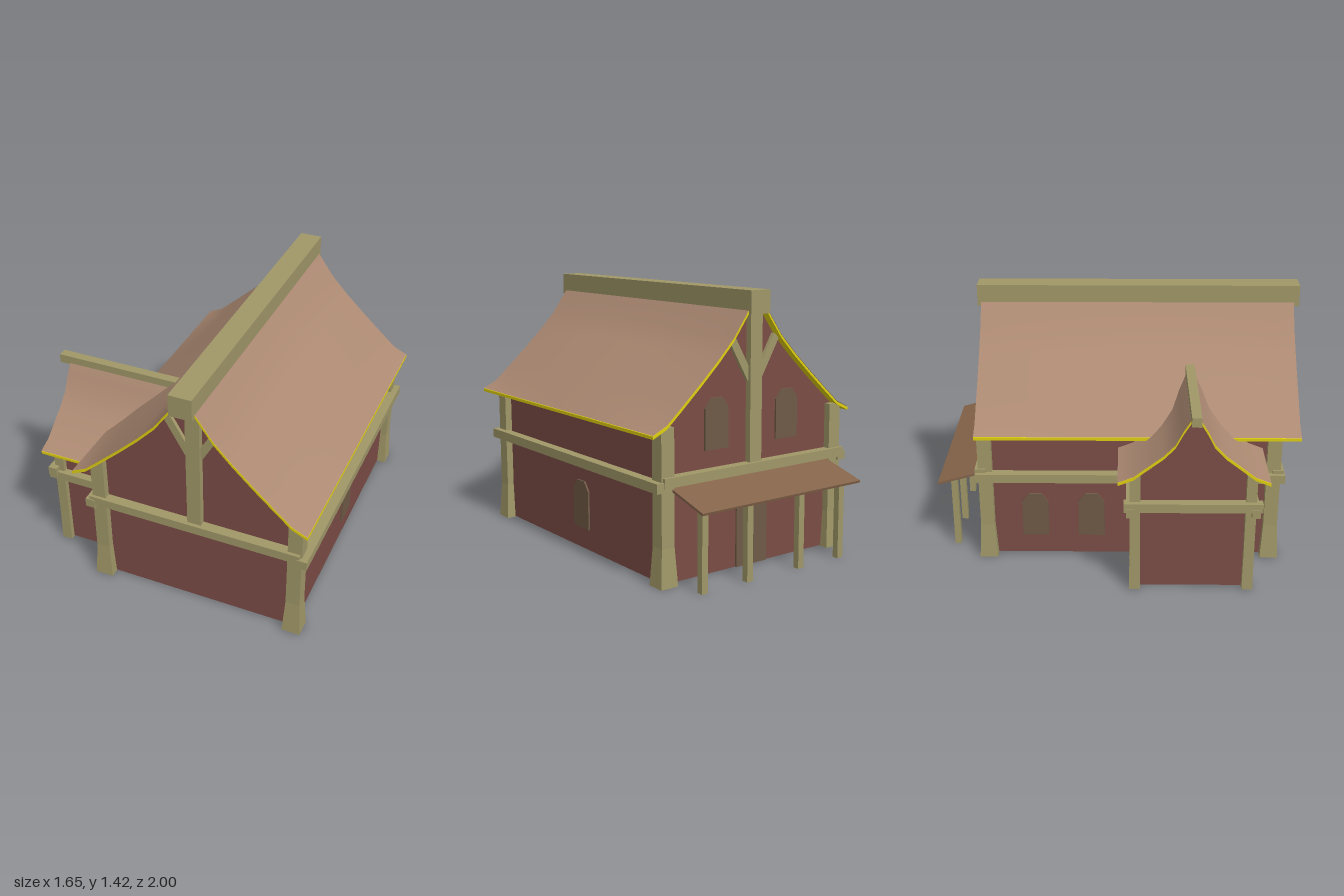
import * as THREE from 'three';

const mat = (color, flat = true) =>
  new THREE.MeshStandardMaterial({ color, flatShading: flat, side: THREE.DoubleSide });
const timber = mat(0xa09768), plaster = mat(0x7b4c45), shingle = mat(0xad8a73, false);
const trim = mat(0xe0d010), glass = mat(0x6f5a46), plank = mat(0x85644a);

function add(parent, name, geo, material, x = 0, y = 0, z = 0) {
  const m = new THREE.Mesh(geo, material);
  m.name = name;
  m.position.set(x, y, z);
  parent.add(m);
  return m;
}

// Box given by its min and max on each axis
function box(parent, name, material, x0, x1, y0, y1, z0, z1) {
  return add(parent, name, new THREE.BoxGeometry(x1 - x0, y1 - y0, z1 - z0), material,
    (x0 + x1) / 2, (y0 + y1) / 2, (z0 + z1) / 2);
}

const shapeOf = (pts) => new THREE.Shape(pts.map(([x, y]) => new THREE.Vector2(x, y)));
const mirrored = (pts) => [...pts.map(([x, y]) => [-x, y]).reverse(), ...pts];

// Height of a half roof profile at distance x from the ridge
function heightAt(profile, x) {
  for (let i = 1; i < profile.length; i++) {
    const [x0, y0] = profile[i - 1], [x1, y1] = profile[i];
    if (x <= x1) return y0 + (y1 - y0) * (x - x0) / (x1 - x0);
  }
  return profile[profile.length - 1][1];
}

// Swept shingle slope: sagging at both ends, filled out towards a straight slope between
function slope(profile, side, z0, z1, bulge) {
  const rows = 16, n = profile.length, pos = [], idx = [];
  const [ax, ay] = profile[1], [bx, by] = profile[n - 1];
  for (let r = 0; r <= rows; r++) {
    const u = r / rows, k = bulge * Math.sin(Math.PI * u);
    profile.forEach(([x, y], i) => {
      const chord = ay + (by - ay) * (x - ax) / (bx - ax);
      const lifted = i > 1 ? y + (chord - y) * k : y;
      pos.push(side * x, lifted + 0.003, z0 + (z1 - z0) * u);
      if (r < rows && i < n - 1) {
        const a = r * n + i, b = a + n;
        if (side > 0) idx.push(a, b, a + 1, b, b + 1, a + 1);
        else idx.push(a, a + 1, b, b, a + 1, b + 1);
      }
    });
  }
  const g = new THREE.BufferGeometry();
  g.setAttribute('position', new THREE.Float32BufferAttribute(pos, 3));
  g.setIndex(idx);
  g.computeVertexNormals();
  return g;
}

// Roof with a coloured underside and shingles on both slopes
function roof(parent, profile, z0, z1, bulge) {
  const top = mirrored(profile);
  const under = top.map(([x, y]) => [x, y - 0.016]).reverse();
  add(parent, 'roofLining', new THREE.ExtrudeGeometry(shapeOf([...top, ...under]),
    { depth: z1 - z0, bevelEnabled: false }), trim, 0, 0, z0);
  for (const s of [-1, 1]) add(parent, 'roofSlope', slope(profile, s, z0, z1, bulge), shingle);
}

// Gable wall filling the roof profile down to the ground
function gable(parent, profile, half, z) {
  const inner = profile.filter(([x]) => x < half).concat([[half, heightAt(profile, half)]]);
  const pts = mirrored(inner.map(([x, y]) => [x, y - 0.012]));
  add(parent, 'gableWall', new THREE.ShapeGeometry(
    shapeOf([[-half, 0.005], ...pts, [half, 0.005]])), plaster, 0, 0, z);
}

function sideWall(parent, x, h, z0, z1) {
  const m = add(parent, 'sideWall', new THREE.PlaneGeometry(z1 - z0, h), plaster, x, h / 2 + 0.005, (z0 + z1) / 2);
  m.rotation.y = Math.sign(x) * Math.PI / 2;
}

// Square post with a splayed foot
function post(parent, x, z, w, foot, h) {
  const pts = [[0, 0], [foot, 0], [w, 0.2], [w, h], [0, h]]
    .map(([r, y]) => new THREE.Vector2(r * Math.SQRT1_2, y));
  const g = new THREE.LatheGeometry(pts, 4);
  g.rotateY(Math.PI / 4);
  add(parent, 'cornerPost', g, timber, x, 0, z);
}

function archWindow(parent, x, y, z, turn) {
  const s = shapeOf([[-0.073, 0], [0.073, 0], [0.073, 0.21], [0.035, 0.26], [-0.035, 0.26], [-0.073, 0.21]]);
  const g = new THREE.ExtrudeGeometry(s, { depth: 0.02, bevelEnabled: false });
  g.translate(0, 0, -0.01);
  add(parent, 'window', g, glass, x, y, z).rotation.y = turn;
}

function mainHouse() {
  const g = new THREE.Group();
  g.name = 'mainHouse';
  g.position.x = 0.18;
  const profile = [[0.03, 1.36], [0.155, 1.185], [0.25, 1.085], [0.36, 0.98], [0.47, 0.88], [0.56, 0.8], [0.64, 0.762]];
  const half = 0.55, front = 0.84, back = -0.725;
  roof(g, profile, -0.77, 0.97, 1);
  box(g, 'ridgeBeam', timber, -0.06, 0.062, 1.3, 1.418, -0.79, 1);
  for (const z of [front, back]) {
    gable(g, profile, half, z);
    const out = Math.sign(z);
    // Gable timbers
    box(g, 'gablePost', timber, -0.038, 0.038, 0.53, 1.32, z - 0.035, z + 0.035);
    box(g, 'crossBeam', timber, -0.6, 0.58, 0.5, 0.55, z - 0.03 + out * 0.025, z + 0.03 + out * 0.025);
    for (const s of [-1, 1]) {
      const brace = add(g, 'brace', new THREE.BoxGeometry(0.042, 0.24, 0.04), timber, s * 0.085, 1.08, z);
      brace.rotation.z = -s * 0.52;
      post(g, s * half, z, 0.076, 0.1, 0.79);
    }
  }
  for (const s of [-1, 1]) {
    sideWall(g, s * half, 0.79, back, front);
    const x = s * 0.595;
    box(g, 'sideBeam', timber, x - 0.027, x + 0.027, 0.48, 0.53, -0.775, 0.9);
  }
  // Windows and back door
  archWindow(g, half, 0.12, 0.02, Math.PI / 2);
  for (const z of [-0.46, -0.15]) archWindow(g, -half, 0.12, z, Math.PI / 2);
  for (const x of [-0.23, 0.23]) archWindow(g, x, 0.64, back, 0);
  box(g, 'backDoor', glass, -0.1, 0.1, 0.005, 0.38, back - 0.01, back + 0.01);
  return g;
}

// Side wing, built facing +z and turned towards -x
function sideWing() {
  const g = new THREE.Group();
  g.name = 'sideWing';
  g.position.z = 0.388;
  g.rotation.y = -Math.PI / 2;
  const profile = [[0.01, 1.03], [0.062, 0.945], [0.1, 0.87], [0.16, 0.807], [0.225, 0.757], [0.31, 0.69], [0.39, 0.658]];
  const half = 0.3, end = 0.7;
  roof(g, profile, 0.13, 0.77, 0);
  box(g, 'wingRidge', timber, -0.025, 0.025, 1.0, 1.05, 0.11, 0.83);
  gable(g, profile, half, end);
  box(g, 'wingEndBeam', timber, -half - 0.06, half + 0.06, 0.48, 0.53, end + 0.01, end + 0.06);
  for (const s of [-1, 1]) {
    sideWall(g, s * half, 0.68, 0.37, end);
    const x = s * (half + 0.025);
    box(g, 'wingSideBeam', timber, x - 0.022, x + 0.022, 0.45, 0.5, 0.4, 0.765);
    post(g, s * half, end + 0.008, 0.055, 0.058, 0.685);
    post(g, s * half, 0.41, 0.055, 0.055, 0.685);
  }
  return g;
}

// Lean-to porch along the back
function porch() {
  const g = new THREE.Group();
  g.name = 'porch';
  const deck = add(g, 'porchRoof', new THREE.BoxGeometry(1.035, 0.013, 0.272), plank, 0.187, 0.452, -0.868);
  deck.rotation.x = -Math.atan2(0.07, 0.25);
  for (const x of [0.64, 0.36, 0.02, -0.26])
    box(g, 'porchPost', timber, x - 0.018, x + 0.018, 0, 0.435, -0.937, -0.902);
  return g;
}

export function createModel() {
  const model = new THREE.Group();
  model.name = 'house';
  model.add(mainHouse(), sideWing(), porch());
  return model;
}
